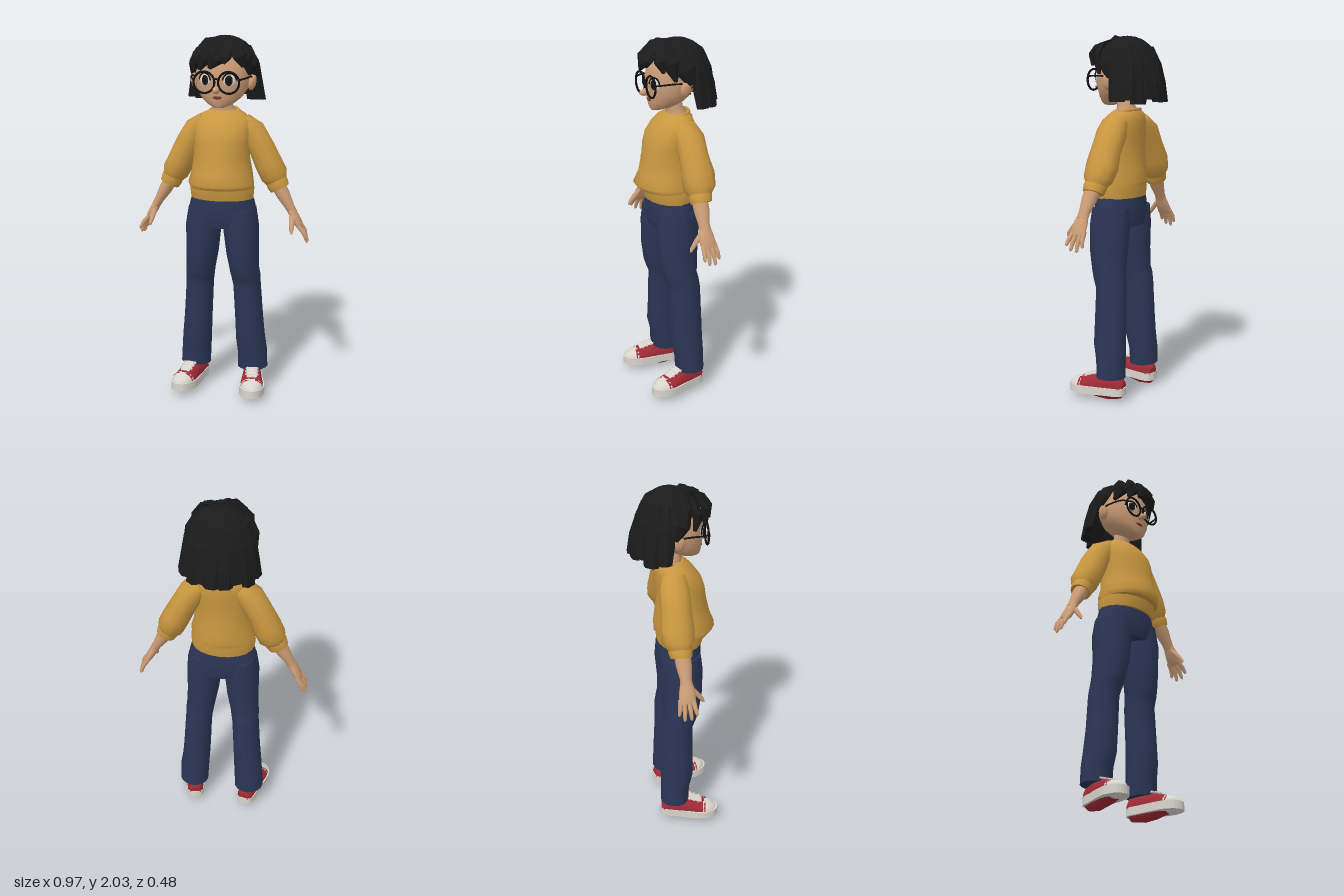
import * as THREE from 'three';

const mat = (name, color) => Object.assign(new THREE.MeshStandardMaterial({ color }), { name });
const Z = new THREE.Vector3(0, 0, 1), Y = new THREE.Vector3(0, 1, 0);

// Skin a list of elliptical rings [x, y, z, halfWidth, halfDepth]; depth runs along ref
function loft(rings, { sides = 14, ref = Z, flat = false, fold = 0 } = {}) {
  const pos = [], idx = [];
  const c = rings.map(r => new THREE.Vector3(r[0], r[1], r[2]));
  rings.forEach((r, i) => {
    const t = c[Math.min(i + 1, c.length - 1)].clone().sub(c[Math.max(i - 1, 0)]);
    const u = t.cross(ref).normalize();
    for (let j = 0; j < sides; j++) {
      const a = j / sides * Math.PI * 2;
      const k = 1 + fold * Math.sin(i * 2.3 + j * 2.1) * Math.cos(j * 0.9 + i);
      const p = c[i].clone().addScaledVector(u, Math.cos(a) * r[3] * k).addScaledVector(ref, Math.sin(a) * r[4] * k);
      pos.push(p.x, p.y, p.z);
    }
  });
  for (let i = 0; i < rings.length - 1; i++) for (let j = 0; j < sides; j++) {
    const a = i * sides + j, b = i * sides + (j + 1) % sides;
    idx.push(a, a + sides, b + sides, a, b + sides, b);
  }
  // End caps on their own vertices keep the rims sharp
  for (const end of [0, rings.length - 1]) {
    const base = pos.length / 3;
    for (let j = 0; j < sides; j++) pos.push(...pos.slice((end * sides + j) * 3, (end * sides + j) * 3 + 3));
    pos.push(...c[end].toArray());
    for (let j = 0; j < sides; j++) {
      const k = (j + 1) % sides;
      idx.push(base + sides, base + (end ? k : j), base + (end ? j : k));
    }
  }
  let g = new THREE.BufferGeometry();
  g.setAttribute('position', new THREE.Float32BufferAttribute(pos, 3));
  g.setIndex(idx);
  if (flat) g = g.toNonIndexed();
  g.computeVertexNormals();
  return g;
}

export function createModel() {
  const root = new THREE.Group();
  const skin = mat('skin', 0xcb9c76), hairM = mat('hair black', 0x1b1b1c), sweater = mat('mustard knit', 0xc99740);
  const denim = mat('navy denim', 0x2b3656), red = mat('red canvas', 0x9e2a35), white = mat('off white', 0xd9d5ce);
  const black = mat('frame black', 0x111112), iris = mat('dark brown', 0x2a1a14), lip = mat('lip', 0x7d3a36);
  const add = (name, g, m, parent = root) => {
    const mesh = new THREE.Mesh(g, m);
    mesh.name = name;
    parent.add(mesh);
    return mesh;
  };
  const ball = (name, m, p, s) => {
    const o = add(name, new THREE.SphereGeometry(1, 16, 12), m);
    o.position.set(...p);
    o.scale.set(...s);
    return o;
  };
  // Body rings given as [y, halfWidth, front z, back z]
  const body = rows => rows.map(([y, w, f, b]) => [0, y, (f + b) / 2, w, (f - b) / 2]);

  // Sweater body with a ribbed hem that the fabric hangs over
  add('sweaterBody', loft(body([[1.59, .082, .05, -.085], [1.57, .12, .075, -.1], [1.535, .155, .11, -.105],
    [1.48, .16, .15, -.105], [1.42, .155, .17, -.1], [1.34, .155, .18, -.1], [1.26, .168, .198, -.108],
    [1.2, .183, .222, -.113], [1.175, .18, .2, -.108]]), { sides: 20, fold: .03 }), sweater);
  add('sweaterHem', loft(body([[1.2, .17, .17, -.1], [1.165, .182, .17, -.103], [1.11, .176, .158, -.097]]), { sides: 20 }), sweater);
  const collar = add('collar', new THREE.TorusGeometry(1, .12, 6, 20), sweater);
  collar.position.set(0, 1.583, -.015);
  collar.rotation.x = Math.PI / 2 + .2;
  collar.scale.set(.08, .07, .08);

  // Neck and head
  add('neck', loft([[0, 1.54, -.015, .08, .06], [0, 1.595, -.015, .066, .055], [0, 1.62, -.005, .047, .048], [0, 1.7, .01, .046, .05]]), skin);
  add('head', loft([[0, 1.615, .1, .025, .03], [0, 1.632, .075, .068, .064], [0, 1.665, .045, .11, .1], [0, 1.715, .025, .143, .124],
    [0, 1.78, .012, .15, .14], [0, 1.85, 0, .145, .143], [0, 1.92, -.01, .11, .11], [0, 1.96, -.01, .05, .05]], { sides: 24 }), skin);
  ball('nose', skin, [0, 1.716, .162], [.019, .02, .038]).rotation.x = .15;
  ball('mouth', lip, [0, 1.673, .143], [.026, .009, .007]);

  // Trousers: hips, then the legs below
  add('hips', loft(body([[1.15, .165, .14, -.088], [1.08, .185, .148, -.097], [1.0, .203, .148, -.1], [.95, .19, .135, -.09]]), { sides: 20 }), denim);

  for (const s of [1, -1]) {
    const side = s > 0 ? 'left' : 'right';
    const mir = rows => rows.map(([x, ...rest]) => [x * s, ...rest]);

    // Ear, eye and glasses
    ball(side + 'Ear', skin, [.16 * s, 1.745, .005], [.022, .045, .03]).rotation.z = -.2 * s;
    const eye = new THREE.Group();
    eye.name = side + 'Eye';
    eye.position.set(.066 * s, 1.765, .139);
    eye.rotation.y = .4 * s;
    root.add(eye);
    add('eyeWhite', new THREE.SphereGeometry(1, 16, 10).scale(.036, .034, .009), white, eye);
    add('iris', new THREE.SphereGeometry(1, 14, 8).scale(.021, .028, .005).translate(-.004 * s, 0, .007), iris, eye);
    add('pupil', new THREE.SphereGeometry(1, 12, 8).scale(.012, .017, .003).translate(-.004 * s, 0, .011), black, eye);
    add('upperLash', new THREE.TorusGeometry(.036, .0045, 5, 14, Math.PI).translate(0, .001, .004), black, eye);
    add(side + 'Rim', new THREE.TorusGeometry(.057, .006, 6, 28).translate(.067 * s, 1.755, .163), black);
    add(side + 'Temple', new THREE.TubeGeometry(new THREE.CatmullRomCurve3([[.122, 1.77, .163], [.143, 1.775, .14],
      [.163, 1.775, .02], [.16, 1.75, -.03]].map(([x, y, z]) => new THREE.Vector3(x * s, y, z))), 12, .005, 5), black);

    // Sleeve, cuff and forearm
    add(side + 'Sleeve', loft(mir([[.1, 1.53, -.015, .05, .07], [.155, 1.475, -.02, .073, .083], [.21, 1.385, -.02, .073, .083],
      [.25, 1.3, -.022, .079, .09], [.282, 1.235, -.02, .077, .085], [.3, 1.2, -.015, .055, .06]]), { sides: 12, fold: .06 }), sweater);
    add(side + 'Cuff', loft(mir([[.287, 1.222, -.015, .056, .062], [.302, 1.193, -.012, .062, .065], [.316, 1.165, -.01, .056, .058]])), sweater);
    add(side + 'Forearm', loft(mir([[.295, 1.205, -.005, .04, .045], [.34, 1.13, 0, .037, .043], [.375, 1.07, .005, .026, .032],
      [.395, 1.035, .006, .024, .034]])), skin);

    // Hand with spread fingers
    const hand = new THREE.Group();
    hand.name = side + 'Hand';
    root.add(hand);
    add('palm', loft(mir([[.38, 1.06, .006, .022, .03], [.405, 1.015, .008, .024, .043], [.428, .975, .006, .021, .046],
      [.44, .952, .006, .014, .042]])), skin, hand);
    [[.037, .05, .905, .477], [.014, .022, .88, .478], [-.01, -.014, .875, .474], [-.03, -.042, .9, .462]].forEach(([z0, z1, y1, x1]) =>
      add('finger', loft(mir([[.425, .975, z0, .013, .013], [(.43 + x1) / 2 + .008, (.965 + y1) / 2, (z0 + z1) / 2, .0125, .0125],
        [x1, y1, z1, .009, .009], [x1 + .001, y1 - .008, z1, .003, .003]]), { sides: 8 }), skin, hand));
    add('thumb', loft(mir([[.392, 1.035, .02, .017, .018], [.398, .99, .058, .016, .018], [.402, .955, .085, .012, .015],
      [.404, .935, .096, .005, .006]]), { sides: 8 }), skin, hand);

    // Trouser leg
    add(side + 'Leg', loft(mir([[.1, 1.05, .025, .09, .112], [.107, .95, .027, .1, .12], [.116, .8, .03, .09, .112], [.128, .69, .022, .082, .1],
      [.134, .65, .012, .081, .097], [.138, .6, -.002, .078, .09], [.15, .4, -.003, .08, .092], [.158, .28, -.005, .083, .094],
      [.166, .2, -.017, .086, .084], [.17, .1, -.02, .086, .081]]), { sides: 16, fold: .02 }), denim);

    // Sneaker, toes turned slightly out
    const shoe = new THREE.Group();
    shoe.name = side + 'Shoe';
    shoe.position.x = .17 * s;
    shoe.rotation.y = .2 * s;
    root.add(shoe);
    const half = [[.035, .095], [.052, .06], [.057, 0], [.07, -.1], [.07, -.16], [.045, -.215]];
    const outline = [[0, .105], ...half, [0, -.236], ...half.slice().reverse().map(([x, z]) => [-x, z])];
    const sole = new THREE.Shape(new THREE.SplineCurve([...outline, outline[0]].map(p => new THREE.Vector2(...p))).getPoints(40));
    add('sole', new THREE.ExtrudeGeometry(sole, { depth: .045, bevelEnabled: false }).rotateX(-Math.PI / 2), white, shoe);
    add('upper', loft([[0, .04, -.098, .03, .035], [0, .042, -.08, .046, .065], [0, .042, 0, .054, .078], [0, .042, .07, .06, .07],
      [0, .042, .12, .066, .055], [0, .042, .165, .064, .043]], { ref: Y }), red, shoe);
    add('toeCap', loft([[0, .04, .15, .067, .049], [0, .04, .185, .058, .04], [0, .038, .21, .042, .03], [0, .035, .226, .015, .012]], { ref: Y }), white, shoe);
    add('tongue', loft([[0, .117, .03, .03, .006], [0, .114, .07, .034, .005], [0, .099, .12, .032, .005], [0, .09, .14, .028, .005]], { ref: Y, sides: 10 }), white, shoe);
    for (const [y, z] of [[.118, .07], [.111, .095], [.102, .12]])
      add('lace', new THREE.BoxGeometry(.076, .007, .008).translate(0, y - .003, z), white, shoe);
  }
  const bridge = add('glassesBridge', new THREE.TorusGeometry(.012, .005, 5, 10, Math.PI), black);
  bridge.position.set(0, 1.762, .166);

  // Hair cap: a dome whose rim sits high over the brow and low at the nape
  const hair = new THREE.Group();
  hair.name = 'hair';
  root.add(hair);
  let cap = new THREE.SphereGeometry(1, 18, 8);
  const cp = cap.attributes.position, uv = cap.attributes.uv;
  for (let i = 0; i < cp.count; i++) {
    const a = uv.getX(i) * Math.PI * 2, polar = (1 - uv.getY(i)) * (1.65 - .5 * Math.cos(a));
    const lump = 1 + .025 * Math.sin(a * 5) * Math.sin(polar);
    cp.setXYZ(i, .005 + .172 * lump * Math.sin(polar) * Math.sin(a), 1.83 + .162 * Math.cos(polar),
      -.022 + .167 * lump * Math.sin(polar) * Math.cos(a));
  }
  cap = cap.toNonIndexed();
  cap.computeVertexNormals();
  const capMat = hairM;
  capMat.side = THREE.DoubleSide;
  add('hairCap', cap, capMat, hair);

  const lock = (name, pts, w, th, taper) => {
    const m = pts[2], ref = new THREE.Vector3(m[0], 0, m[2] + .02).normalize();
    add(name, loft(pts.map((p, i) => [...p, w * taper[i], th * (i === 3 ? Math.max(taper[3], .4) : 1)]), { sides: 6, ref, flat: true }), hairM, hair);
  };
  // Bob: blunt locks around the sides and back
  [106, 124, 142, 160, 176, 194, 212, 232, 253].forEach((deg, i) => {
    const a = deg * Math.PI / 180, out = i === 4 ? .02 : (i % 2) * .008, tip = 1.645 + .014 * Math.sin(i * 2.4);
    const at = (r, y) => [Math.sin(a) * r, y, -.03 + Math.cos(a) * r * .88];
    lock('bobLock', [at(.115, 1.935), at(.162, 1.84), at(.18 + out, 1.74), at(.202 + out, tip)], .052, .03, [.6, 1, 1.05, .85]);
  });
  // Fringe swept both ways from an off-centre parting
  const part = [.045, 1.968, .05];
  [[[.03, 1.935, .14], [0, 1.885, .176], [-.035, 1.83, .177], .05],
    [[-.02, 1.945, .12], [-.065, 1.89, .155], [-.095, 1.82, .15], .052],
    [[-.06, 1.945, .085], [-.115, 1.885, .11], [-.145, 1.805, .085], .05],
    [[.05, 1.93, .14], [.05, 1.89, .172], [.045, 1.855, .18], .035],
    [[.09, 1.94, .115], [.12, 1.895, .13], [.135, 1.835, .12], .042],
    [[.1, 1.945, .085], [.145, 1.885, .085], [.158, 1.79, .06], .048]].forEach(([a, b, c, w]) =>
    lock('fringeLock', [part, a, b, c], w, .024, [.6, 1, 1, .2]));
  // Locks over the temples
  for (const s of [1, -1])
    lock('templeLock', [[.05 * s, 1.965, 0], [.13 * s, 1.92, .02], [.168 * s, 1.85, .01], [.178 * s, 1.775, -.025]], .055, .024, [.7, 1, 1, .5]);

  return root;
}
